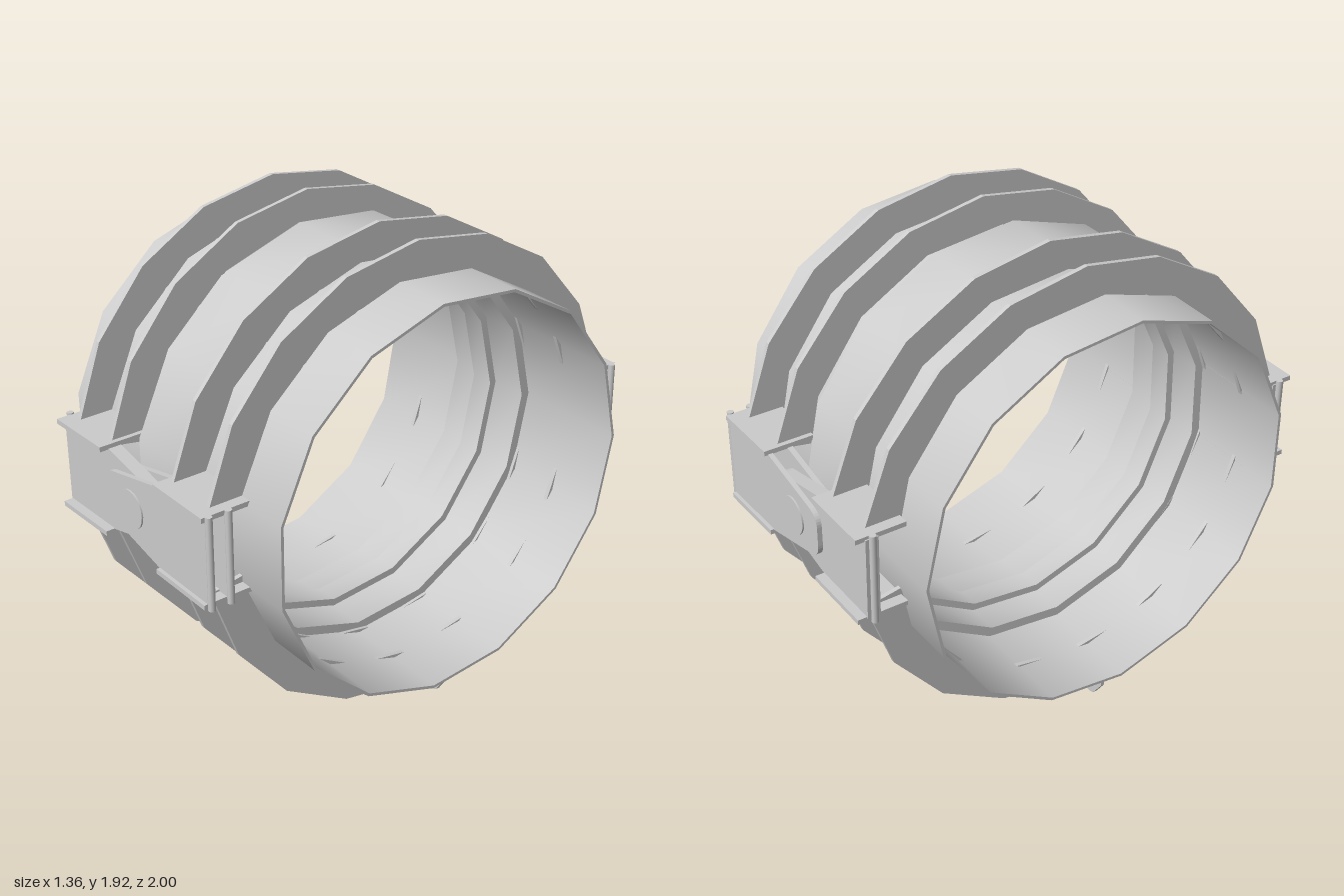
import * as THREE from 'three';
import { toCreasedNormals } from 'three/addons/utils/BufferGeometryUtils.js';

const AXIS_Y = 0.968;
const TILT = 0.0276;
const grey = new THREE.MeshStandardMaterial({ color: 0xcccccc });

function add(parent, name, geometry, x = 0, y = 0, z = 0) {
  const mesh = new THREE.Mesh(geometry, grey);
  mesh.name = name;
  mesh.position.set(x, y, z);
  parent.add(mesh);
  return mesh;
}

// 15-sided tube around x; profile is a closed loop of [radius, x], outside first
function tube(profile) {
  const pts = [...profile, profile[0]].map(([r, x]) => new THREE.Vector2(r, x));
  const g = new THREE.LatheGeometry(pts, 15);
  g.rotateY(Math.PI).rotateZ(-Math.PI / 2);
  return toCreasedNormals(g, 0.6);
}

function extrude(shape, depth) {
  const g = new THREE.ExtrudeGeometry(shape, { depth, bevelEnabled: false, curveSegments: 8 });
  return g.translate(0, 0, -depth / 2);
}

// Half flange ring, stopping at the hinge brackets
function flangeGeometry() {
  const arc = (r) => Array.from({ length: 9 }, (_, i) => {
    const a = THREE.MathUtils.degToRad(10 + 20 * i);
    return new THREE.Vector2(r * Math.cos(a), r * Math.sin(a));
  });
  const shape = new THREE.Shape([...arc(0.955), ...arc(0.805).reverse()]);
  return extrude(shape, 0.018).rotateY(Math.PI / 2);
}

// Hinge plate: wide body tapering to a tongue with rounded corners past the pivot
function leafGeometry(s, depth) {
  const p = new THREE.Shape();
  p.moveTo(s * 0.49, 0.175);
  p.lineTo(s * 0.18, 0.172);
  p.lineTo(s * -0.12, 0.105);
  p.quadraticCurveTo(s * -0.18, 0.092, s * -0.18, 0.04);
  p.lineTo(s * -0.18, -0.04);
  p.quadraticCurveTo(s * -0.18, -0.092, s * -0.12, -0.105);
  p.lineTo(s * 0.18, -0.172);
  p.lineTo(s * 0.49, -0.175);
  p.closePath();
  return extrude(p, depth);
}

// Drain lug with a hole
function lugGeometry() {
  const p = new THREE.Shape();
  p.moveTo(-0.075, 0.06);
  p.lineTo(-0.075, 0.03);
  p.lineTo(-0.03, -0.035);
  p.quadraticCurveTo(0, -0.055, 0.03, -0.035);
  p.lineTo(0.075, 0.03);
  p.lineTo(0.075, 0.06);
  p.closePath();
  const hole = new THREE.Path();
  hole.absarc(0, -0.012, 0.015, 0, Math.PI * 2, true);
  p.holes.push(hole);
  return extrude(p, 0.015);
}

// One pipe half, s = +1 or -1 along x
function pipeHalf(s) {
  const half = new THREE.Group();
  half.name = s > 0 ? 'leftPipeHalf' : 'rightPipeHalf';
  const [a, b] = s > 0 ? [0.08, 0.68] : [-0.66, -0.08];
  add(half, 'pipeShell', tube([[0.82, a], [0.82, b], [0.808, b], [0.808, a]]));

  for (const x of [0.205, 0.43]) {
    add(half, 'upperFlange', flangeGeometry(), s * x);
    add(half, 'lowerFlange', flangeGeometry(), s * x).rotation.x = Math.PI;
  }
  add(half, 'lug', lugGeometry(), s * 0.575, -0.862, 0);

  // The +x side is a two-leaf clevis around the single leaf of the other side
  const leaves = s > 0 ? [[0.975, 0.02], [0.892, 0.022]] : [[0.935, 0.054]];
  for (const side of [1, -1]) {
    const bracket = new THREE.Group();
    bracket.name = side > 0 ? 'frontBracket' : 'backBracket';
    half.add(bracket);
    for (const [z, t] of leaves) {
      add(bracket, 'hingeLeaf', leafGeometry(s, t), 0, 0, side * z);
      add(bracket, 'endRod', new THREE.CylinderGeometry(0.014, 0.014, 0.385, 10), s * 0.495, 0, side * z);
    }
    for (const v of [1, -1]) {
      add(bracket, 'bracketShelf', new THREE.BoxGeometry(0.31, 0.02, 0.21), s * 0.33, v * 0.178, side * 0.895);
    }
  }
  return half;
}

export function createModel() {
  const model = new THREE.Group();
  model.name = 'hingedPipeJoint';
  const joint = new THREE.Group();
  joint.name = 'joint';
  joint.position.y = AXIS_Y;
  model.add(joint);

  joint.add(pipeHalf(1));
  const tilted = pipeHalf(-1);
  tilted.rotation.z = TILT;
  joint.add(tilted);

  // Outer collar and stepped inner sleeve
  add(joint, 'collar', tube([[0.862, -0.155], [0.862, 0.13], [0.8, 0.13], [0.8, -0.155]]));
  add(joint, 'innerSleeve', tube([
    [0.81, -0.2], [0.81, 0.2], [0.77, 0.2], [0.77, 0.04],
    [0.74, 0.04], [0.74, -0.06], [0.77, -0.06], [0.77, -0.2],
  ]));

  // Pivot pins through the hinge leaves
  for (const side of [1, -1]) {
    const pin = new THREE.CylinderGeometry(0.078, 0.078, 0.115, 20).rotateX(Math.PI / 2);
    add(joint, 'pivotPin', pin, 0, 0, side * 0.934);
  }
  return model;
}
